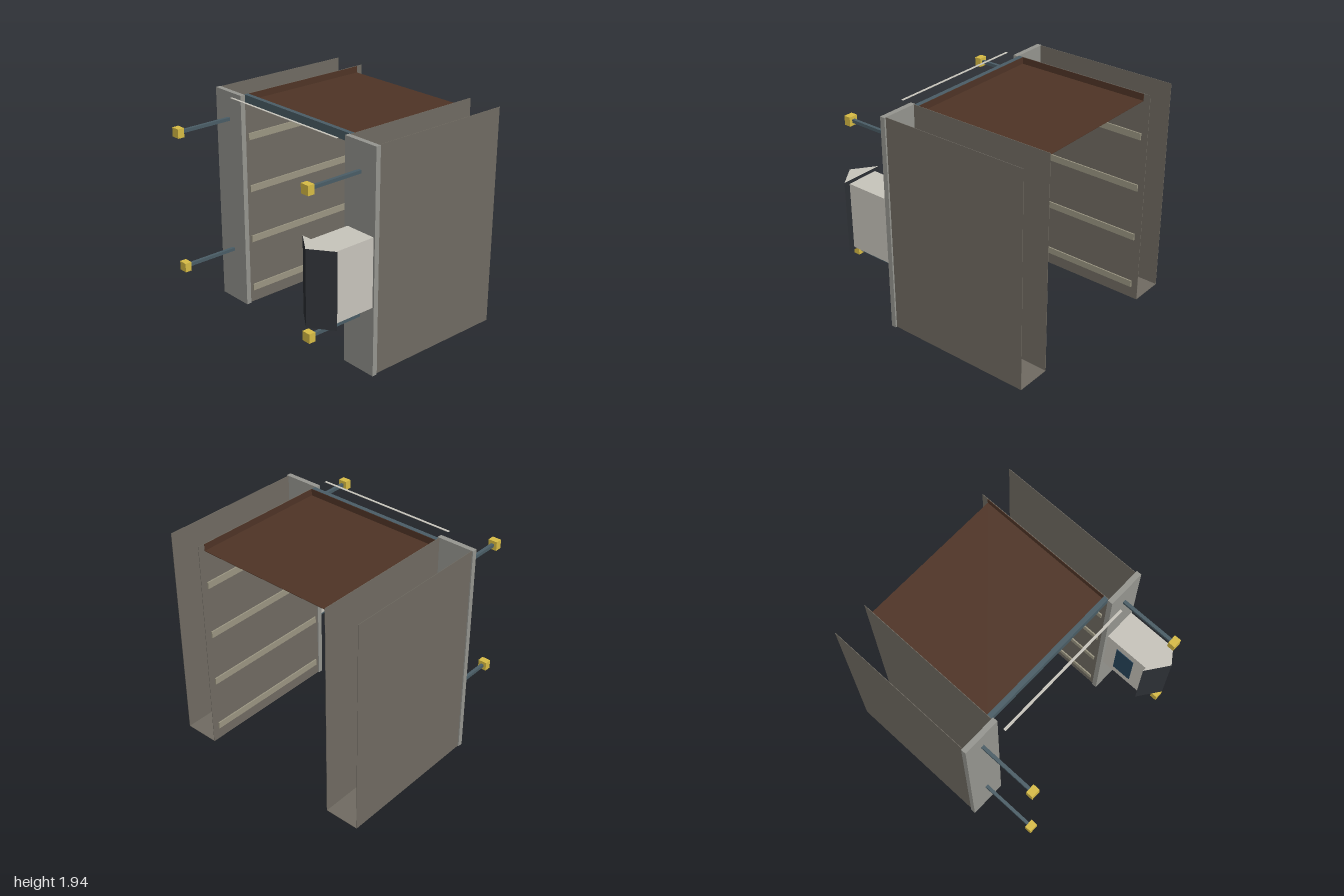
import * as THREE from 'three';

const mat = (color) => new THREE.MeshStandardMaterial({ color, side: THREE.DoubleSide });

export function createModel() {
  const root = new THREE.Group();
  const wall = mat(0x706b62), trim = mat(0x969690), rail = mat(0x9b9682);
  const steel = mat(0x4a5d66), brown = mat(0x4f3426), gold = mat(0xd8bc45);
  const beige = mat(0xc8c5bc), dark = mat(0x2d3035), blue = mat(0x27455c);

  // Box given by its minimum and maximum corners
  function box(name, material, [x0, y0, z0], [x1, y1, z1], parent = root) {
    const mesh = new THREE.Mesh(new THREE.BoxGeometry(x1 - x0, y1 - y0, z1 - z0), material);
    mesh.position.set((x0 + x1) / 2, (y0 + y1) / 2, (z0 + z1) / 2);
    mesh.name = name;
    parent.add(mesh);
    return mesh;
  }

  const H = 1.94, T = 0.004, back = -0.97, front = 0.365;

  // Two hollow side cabinets, open at the top and back
  const sides = [
    { name: 'rightCabinet', x0: -0.99, x1: -0.675, p0: -1, p1: -0.66, inner: -0.675, dir: 1, post: -0.83 },
    { name: 'leftCabinet', x0: 0.63, x1: 0.945, p0: 0.62, p1: 0.96, inner: 0.63, dir: -1, post: 0.79 },
  ];
  for (const s of sides) {
    const g = new THREE.Group();
    g.name = s.name;
    root.add(g);
    box('sidePanel', wall, [s.x0, 0, back], [s.x0 + T, H, front], g);
    box('sidePanel', wall, [s.x1 - T, 0, back], [s.x1, H, front], g);
    box('cabinetFloor', wall, [s.x0, 0, back], [s.x1, T, front], g);
    box('frontPanel', trim, [s.p0, 0, 0.365], [s.p1, H, 0.41], g);

    // Horizontal rails on the inner face
    for (let i = 0; i < 4; i++) {
      const y = 0.14 + i * 0.474, x = s.inner + s.dir * 0.012;
      box('innerRail', rail, [Math.min(s.inner, x), y - 0.03, -0.91], [Math.max(s.inner, x), y + 0.03, 0.33], g);
    }

    // Posts with square knobs
    for (const y of [0.49, 1.7]) {
      box('post', steel, [s.post - 0.014, y - 0.014, 0.4], [s.post + 0.014, y + 0.014, 0.9], g);
      box('knob', gold, [s.post - 0.04, y - 0.04, 0.895], [s.post + 0.04, y + 0.04, 0.955], g);
    }
  }

  // Roof tray with raised lips at the front and sides
  box('roof', brown, [-0.675, 1.876, -0.91], [0.63, 1.88, 0.32]);
  box('roofFrontLip', brown, [-0.675, 1.88, 0.316], [0.63, 1.938, 0.32]);
  box('roofSideLip', brown, [-0.675, 1.88, -0.91], [-0.672, 1.938, 0.32]);
  box('roofSideLip', brown, [0.627, 1.88, -0.91], [0.63, 1.938, 0.32]);
  box('frontBeam', steel, [-0.675, 1.87, 0.32], [0.63, H, 0.36]);
  box('floatingSlat', beige, [-0.675, 1.937, 0.483], [0.63, H, 0.505]);

  // Bracket with a side screen, carrying a wedge-shaped display
  const display = new THREE.Group();
  display.name = 'display';
  root.add(display);
  box('bracket', beige, [0.655, 0.61, 0.41], [0.945, 1.21, 0.828], display);
  box('sideScreen', blue, [0.65, 0.71, 0.52], [0.656, 1.11, 0.7], display);

  const wedge = new THREE.Shape([[0.61, -0.825], [0.805, -0.965], [1, -0.825]]
    .map(([x, y]) => new THREE.Vector2(x, y)));
  const geo = new THREE.ExtrudeGeometry(wedge, { depth: 0.655, bevelEnabled: false });
  geo.rotateX(-Math.PI / 2).translate(0, 0.585, 0);
  const head = new THREE.Mesh(geo, [beige, dark]);
  head.name = 'displayWedge';
  display.add(head);

  return root;
}
